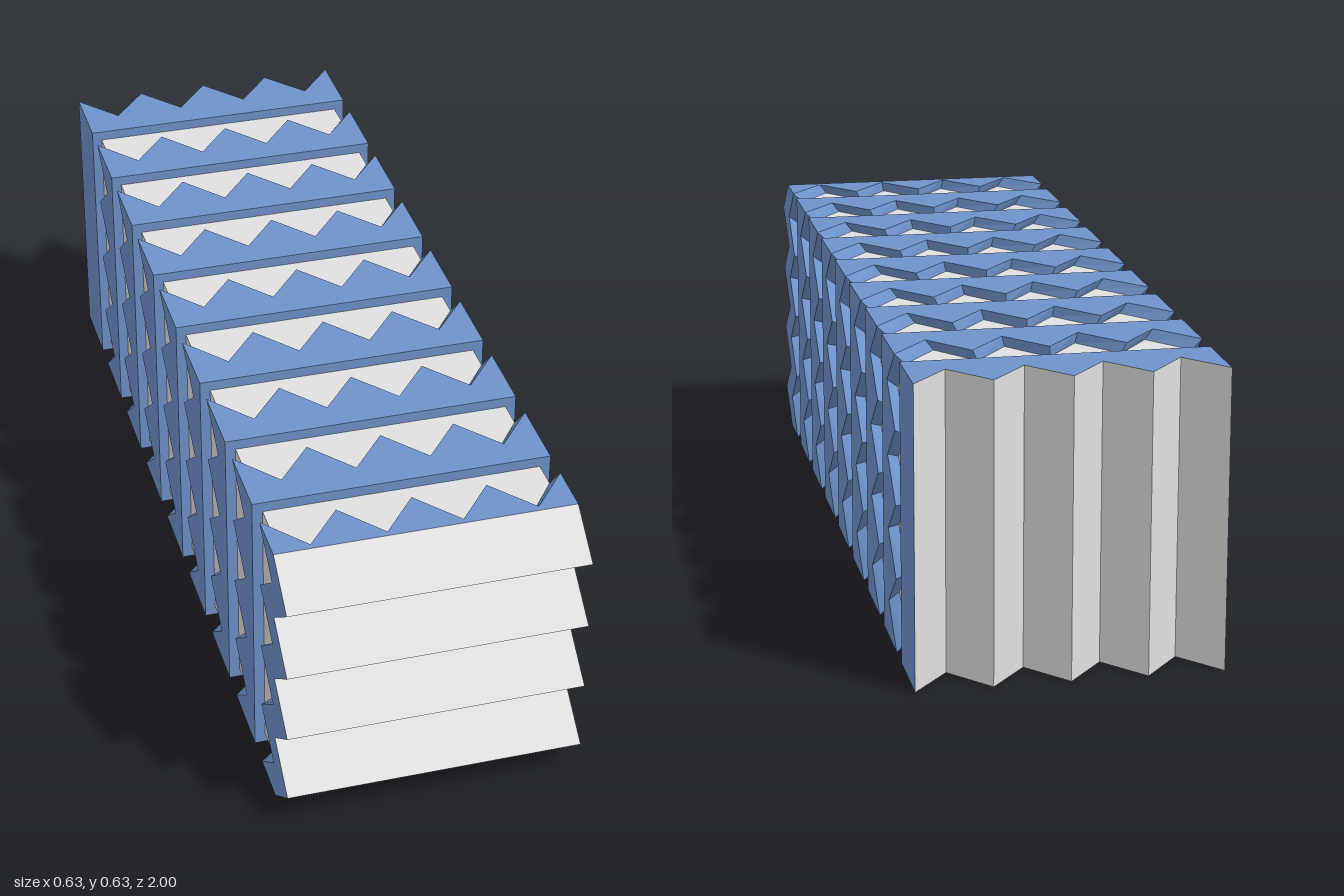
import * as THREE from 'three';

const S = 0.317;          // half width of the square section
const INNER = 0.93;       // core width relative to the frames
const TEETH = 4;
const STEPS = TEETH * 2;
const PITCH = 0.2235;

const grey = new THREE.MeshStandardMaterial({ color: 0xe0e0e0 });
grey.name = 'light grey';
const blue = new THREE.MeshStandardMaterial({ color: 0x6e92ca });
blue.name = 'blue';

// Flat-faced mesh from a list of quads (corners counter-clockwise).
function quadMesh(name, quads, material) {
  const pos = [];
  for (const [a, b, c, d] of quads) pos.push(...a, ...b, ...c, ...a, ...c, ...d);
  const geo = new THREE.BufferGeometry();
  geo.setAttribute('position', new THREE.Float32BufferAttribute(pos, 3));
  geo.computeVertexNormals();
  const mesh = new THREE.Mesh(geo, material);
  mesh.name = name;
  return mesh;
}

const at = (i) => -S + (2 * S * i) / STEPS;

// Square outline, counter-clockwise; i and j are the grid steps along x and y.
const outline = [];
for (let k = 0; k < STEPS; k++) outline.push([k, 0]);
for (let k = 0; k < STEPS; k++) outline.push([STEPS, k]);
for (let k = 0; k < STEPS; k++) outline.push([STEPS - k, STEPS]);
for (let k = 0; k < STEPS; k++) outline.push([0, STEPS - k]);

// Frame between two depth rules; each end can get a ring closing in on the core.
function frame(name, front, back, frontRing, backRing) {
  const quads = [];
  outline.forEach((p, n) => {
    const q = outline[(n + 1) % outline.length];
    const v = ([i, j], depth, s = 1) => [at(i) * s, at(j) * s, depth(i, j)];
    quads.push([v(p, back), v(q, back), v(q, front), v(p, front)]);
    if (frontRing) quads.push([v(p, front), v(q, front), v(q, front, INNER), v(p, front, INNER)]);
    if (backRing) quads.push([v(q, back), v(p, back), v(p, back, INNER), v(q, back, INNER)]);
  });
  return quadMesh(name, quads, blue);
}

export function createModel() {
  const group = new THREE.Group();

  // Core running through all frames
  const core = new THREE.Mesh(new THREE.BoxGeometry(2 * S * INNER, 2 * S * INNER, 1.76), grey);
  core.name = 'core';
  core.position.z = 0.01;
  group.add(core);

  // Teeth peak on even outline steps, including the corners
  const toothed = (peak) => (i, j) => ((i + j) % 2 === 0 ? peak : peak + 0.097);
  const frontZ = (i, j) => (j % 2 ? 1 : 0.9);
  const backZ = (i) => (i % 2 ? -0.905 : -1);

  // Front frame, seven middle frames, back frame
  group.add(frame('frontFrame', frontZ, toothed(0.79), false, true));
  for (let n = 1; n <= 7; n++) {
    const start = 0.953 - n * PITCH;
    group.add(frame('middleFrame' + n, () => start, toothed(0.79 - n * PITCH), true, true));
  }
  group.add(frame('backFrame', () => -0.835, backZ, true, false));

  // Corrugated end faces: ridges across at the front, upright at the back
  const frontQuads = [], backQuads = [];
  for (let k = 0; k < STEPS; k++) {
    const a = at(k), b = at(k + 1);
    const f0 = frontZ(0, k), f1 = frontZ(0, k + 1);
    const b0 = backZ(k), b1 = backZ(k + 1);
    frontQuads.push([[-S, a, f0], [S, a, f0], [S, b, f1], [-S, b, f1]]);
    backQuads.push([[b, -S, b1], [a, -S, b0], [a, S, b0], [b, S, b1]]);
  }
  group.add(quadMesh('frontRidges', frontQuads, grey));
  group.add(quadMesh('backRidges', backQuads, grey));

  // Stand on the ground
  group.children.forEach((m) => { m.position.y = S; });
  return group;
}
